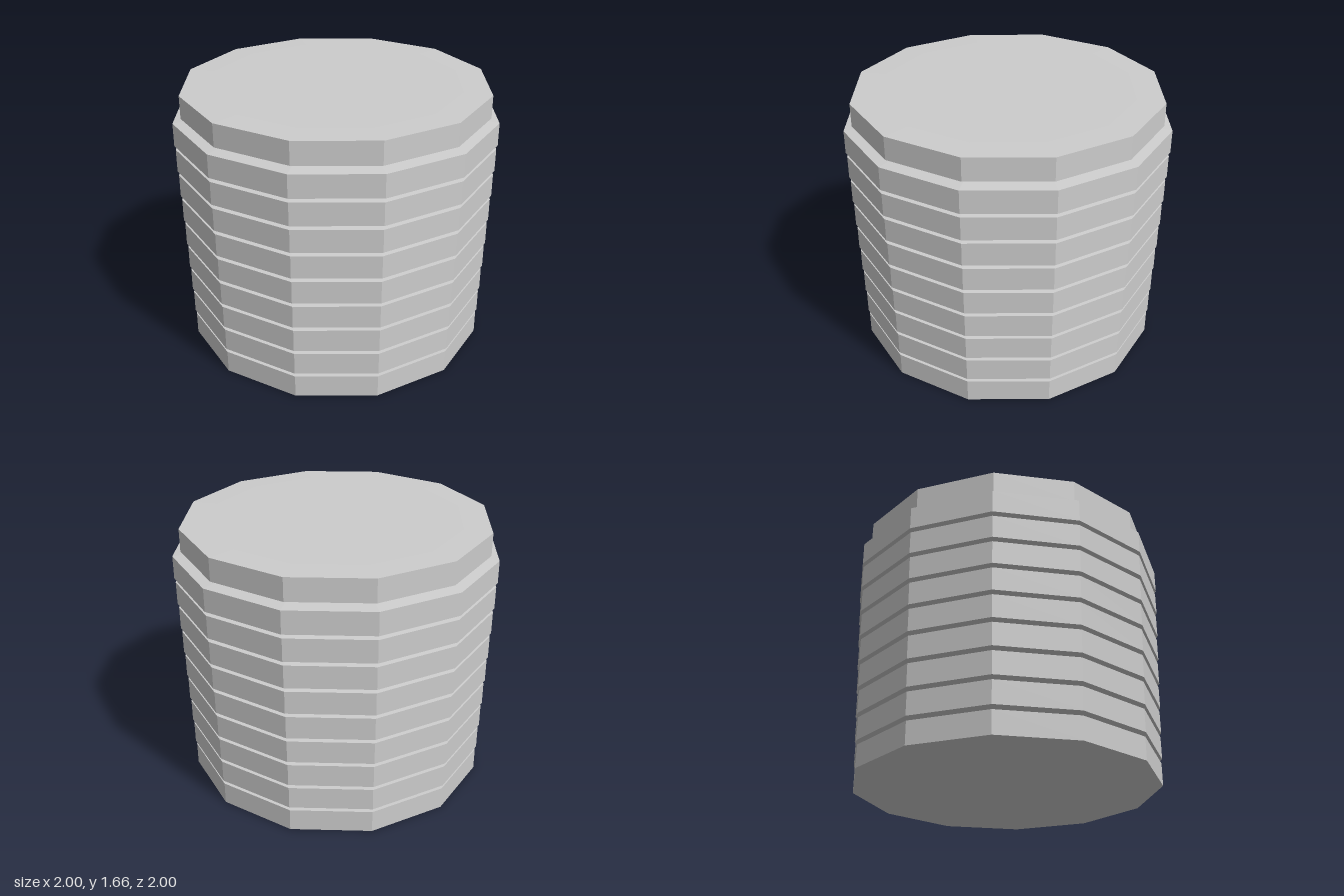
import * as THREE from 'three';

export function createModel() {
  const model = new THREE.Group();
  model.name = 'discStack';
  const grey = new THREE.MeshStandardMaterial({ color: 0xcccccc });
  grey.name = 'plainGrey';

  const count = 10, sides = 12, pitch = 0.168, bandHeight = 0.142;

  // Twelve-sided disc: an upright rim with slightly raised flat faces
  function discGeometry(radius, bulge) {
    const plateau = 0.78;
    const profile = [
      [0, -bulge], [plateau, -bulge], [radius, 0],
      [radius, bandHeight], [plateau, bandHeight + bulge], [0, bandHeight + bulge],
    ].map(([r, y]) => new THREE.Vector2(r, y));
    const geometry = new THREE.LatheGeometry(profile, sides).toNonIndexed();
    geometry.computeVertexNormals(); // flat facets
    return geometry;
  }

  // Discs widen and swell towards the top; the cap is as small as the base
  for (let i = 0; i < count; i++) {
    const step = i === count - 1 ? 0 : i;
    const radius = 0.95 + step * 0.00625;
    const bulge = 0.004 + step * 0.0026;
    const disc = new THREE.Mesh(discGeometry(radius, bulge), grey);
    disc.name = i === 0 ? 'baseDisc' : i === count - 1 ? 'capDisc' : `disc${i + 1}`;
    disc.position.y = 0.004 + i * pitch;
    model.add(disc);
  }
  return model;
}
